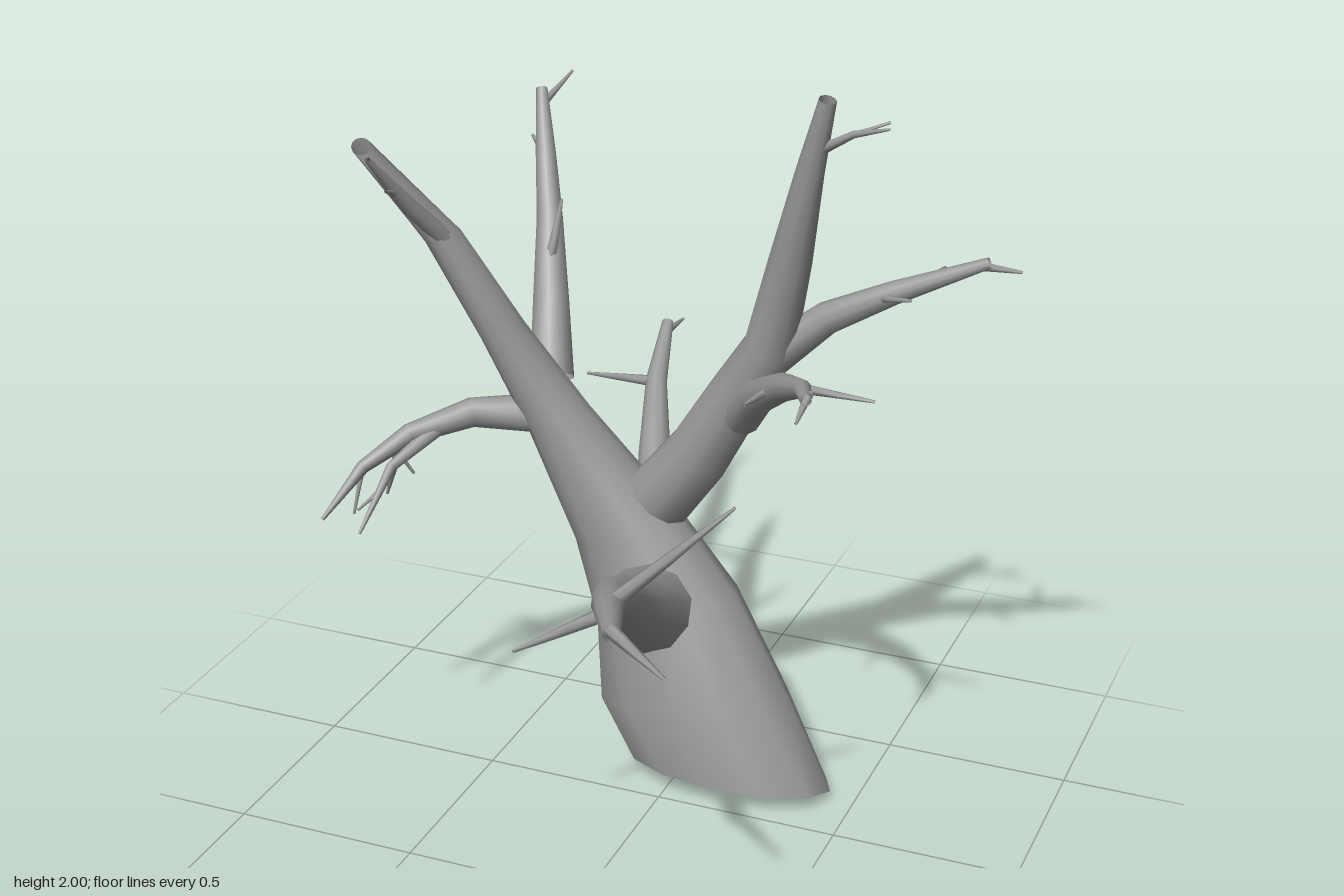
import * as THREE from 'three';

const SIDES = 10;
const V = (p) => new THREE.Vector3(p[0], p[1], p[2]);
const bark = new THREE.MeshStandardMaterial({ color: 0x989898, side: THREE.DoubleSide });

// Skin a list of rings; each ring is { c: centre, u, v: half axes }
function loft(name, rings, sides) {
  const pos = [], idx = [];
  rings.forEach(({ c, u, v }, i) => {
    for (let j = 0; j < sides; j++) {
      const t = (j / sides) * Math.PI * 2;
      const p = c.clone().addScaledVector(u, Math.cos(t)).addScaledVector(v, Math.sin(t));
      pos.push(p.x, p.y, p.z);
      if (i === 0) continue;
      const k = (j + 1) % sides, lo = (i - 1) * sides, hi = i * sides;
      idx.push(lo + j, lo + k, hi + k, lo + j, hi + k, hi + j);
    }
  });
  const g = new THREE.BufferGeometry();
  g.setAttribute('position', new THREE.Float32BufferAttribute(pos, 3));
  g.setIndex(idx);
  g.computeVertexNormals();
  const mesh = new THREE.Mesh(g, bark);
  mesh.name = name;
  return mesh;
}

// Tapering limb through nodes [x, y, z, radius], rings square to the path
function limb(name, nodes, sides = SIDES) {
  const pts = nodes.map(V);
  let u = new THREE.Vector3(0.31, 0.2, 0.93);
  const rings = pts.map((c, i) => {
    const d = pts[Math.min(i + 1, pts.length - 1)].clone().sub(pts[Math.max(i - 1, 0)]).normalize();
    u = u.clone().addScaledVector(d, -u.dot(d)).normalize();
    const v = d.clone().cross(u), r = nodes[i][3];
    return { c, u: u.clone().multiplyScalar(r), v: v.multiplyScalar(r) };
  });
  return loft(name, rings, sides);
}

// Straight pointed twig
function twig(a, b, r = 0.013) {
  const m = a.map((n, i) => n + (b[i] - n) * 0.5);
  return limb('twig', [[...a, r], [...m, r * 0.65], [...b, 0.004]], 6);
}

export function createModel() {
  const tree = new THREE.Group();
  tree.name = 'bareTree';

  // Leaning trunk: left x, y, right x, y, centre z, depth radius, tilt
  const trunk = [
    [-0.145, 0.04, 0.435, 0.03, -0.165, 0.165, -0.03],
    [-0.245, 0.21, 0.305, 0.27, -0.185, 0.175, -0.01],
    [-0.265, 0.43, 0.135, 0.54, -0.22, 0.155, 0],
    [-0.33, 0.65, -0.03, 0.74, -0.225, 0.12, 0],
    [-0.45, 0.95, -0.29, 1.02, -0.205, 0.09, 0],
    [-0.56, 1.22, -0.45, 1.26, -0.15, 0.07, 0],
    [-0.68, 1.49, -0.595, 1.52, -0.085, 0.057, 0],
    [-0.81, 1.78, -0.78, 1.745, 0.04, 0.045, 0],
  ].map(([lx, ly, rx, ry, z, rz, tilt]) => ({
    c: V([(lx + rx) / 2, (ly + ry) / 2, z]),
    u: V([(rx - lx) / 2, (ry - ly) / 2, 0]),
    v: V([0, tilt, -rz]),
  }));
  tree.add(loft('trunk', trunk, 12));

  // Main branches
  const branches = {
    leader: [[-0.085, 0.8, -0.22, 0.095], [0.03, 0.95, -0.21, 0.088], [0.13, 1.12, -0.19, 0.08],
      [0.235, 1.3, -0.175, 0.068], [0.3, 1.55, -0.125, 0.055], [0.36, 1.8, -0.08, 0.036], [0.412, 1.995, -0.045, 0.022]],
    leaderSideBranch: [[0.22, 1.25, -0.18, 0.055], [0.38, 1.39, -0.19, 0.042], [0.55, 1.48, -0.19, 0.03], [0.78, 1.58, -0.22, 0.014]],
    leaderFrontBranch: [[0.17, 1.1, -0.15, 0.05], [0.24, 1.2, -0.07, 0.047], [0.35, 1.29, 0.05, 0.036],
      [0.45, 1.36, 0.2, 0.022], [0.5, 1.385, 0.32, 0.014]],
    frontBranch: [[-0.07, 0.52, -0.11, 0.125], [-0.045, 0.61, 0.07, 0.095], [0, 0.735, 0.27, 0.07],
      [0.07, 0.86, 0.48, 0.046], [0.14, 0.92, 0.65, 0.035], [0.225, 0.97, 0.83, 0.022]],
    lowerBackBranch: [[-0.12, 0.68, -0.3, 0.065], [-0.2, 0.8, -0.46, 0.045], [-0.28, 0.93, -0.67, 0.03], [-0.31, 1.045, -0.83, 0.016]],
    upperBackBranch: [[-0.41, 1.08, -0.25, 0.06], [-0.46, 1.25, -0.36, 0.05], [-0.51, 1.45, -0.47, 0.036],
      [-0.56, 1.6, -0.56, 0.028], [-0.61, 1.75, -0.65, 0.016]],
    droopingBranch: [[-0.44, 1.0, -0.18, 0.052], [-0.58, 1.01, -0.1, 0.04], [-0.7, 0.98, 0.03, 0.028],
      [-0.79, 0.91, 0.13, 0.018], [-0.85, 0.8, 0.25, 0.005]],
    droopingFrontFork: [[-0.64, 0.99, -0.03, 0.024], [-0.71, 0.92, 0.12, 0.014], [-0.73, 0.79, 0.27, 0.004]],
    droopingBackFork: [[-0.71, 0.97, 0.02, 0.018], [-0.78, 0.88, -0.05, 0.013], [-0.83, 0.74, -0.07, 0.004]],
    trunkTopBranch: [[-0.615, 1.49, -0.08, 0.026], [-0.675, 1.62, 0.03, 0.022], [-0.715, 1.77, 0.155, 0.008]],
    leaderTipBranch: [[0.385, 1.86, -0.07, 0.014], [0.48, 1.92, -0.04, 0.009], [0.58, 1.955, 0, 0.003]],
  };
  for (const [name, nodes] of Object.entries(branches)) tree.add(limb(name, nodes));

  // Twigs: start, end, radius
  [
    [[0.48, 1.92, -0.04], [0.56, 1.95, -0.07], 0.007],
    [[0.75, 1.57, -0.215], [0.855, 1.555, -0.25]],
    [[0.65, 1.53, -0.21], [0.63, 1.5, -0.36]],
    [[0.5, 1.46, -0.19], [0.62, 1.5, -0.1]],
    [[0.45, 1.36, 0.2], [0.63, 1.355, 0.2]],
    [[0.3, 1.26, 0.01], [0.285, 1.27, 0.15]],
    [[0.49, 1.38, 0.27], [0.49, 1.34, 0.36]],
    [[0.21, 0.96, 0.8], [0.4, 0.95, 0.945], 0.018],
    [[0.11, 0.9, 0.59], [0.41, 1.19, 0.54], 0.022],
    [[0, 0.72, 0.28], [-0.17, 0.69, 0.53], 0.022],
    [[-0.31, 1.02, -0.8], [-0.31, 1.01, -0.95]],
    [[-0.29, 0.93, -0.66], [-0.51, 0.9, -0.71], 0.016],
    [[-0.18, 0.76, -0.43], [-0.1, 0.87, -0.58], 0.018],
    [[-0.6, 1.71, -0.63], [-0.58, 1.765, -0.79]],
    [[-0.56, 1.59, -0.56], [-0.645, 1.61, -0.66]],
    [[-0.48, 1.33, -0.39], [-0.455, 1.52, -0.43], 0.02],
    [[-0.69, 1.66, 0.07], [-0.66, 1.7, 0.17], 0.01],
    [[-0.72, 0.87, 0.17], [-0.76, 0.83, 0.22], 0.008],
    [[-0.79, 0.91, 0.13], [-0.8, 0.79, 0.17], 0.009],
    [[-0.78, 0.88, -0.05], [-0.75, 0.81, -0.08], 0.008],
  ].forEach(([a, b, r]) => tree.add(twig(a, b, r)));

  return tree;
}
